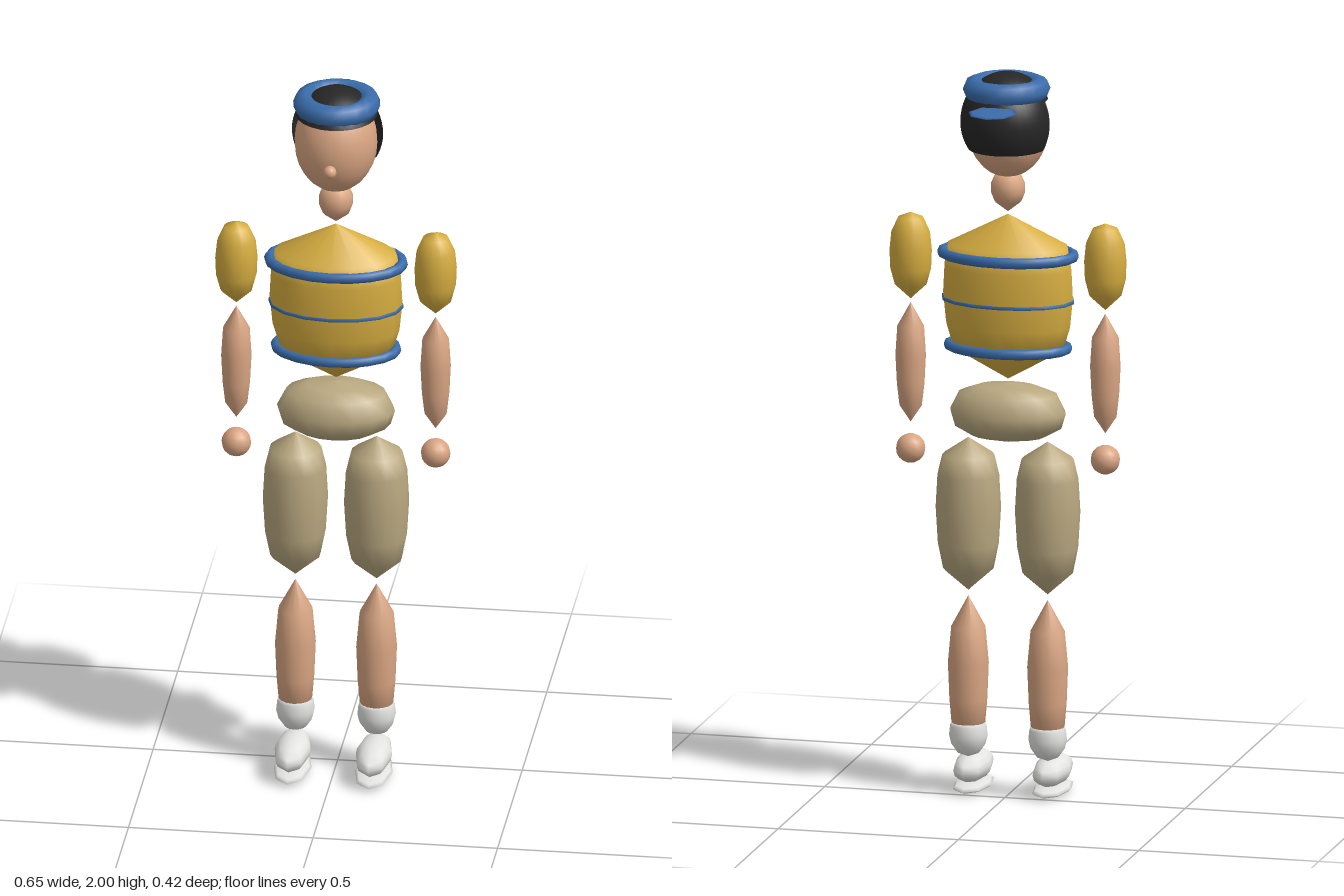
import * as THREE from 'three';

const MID_Z = 0.033; // body axis

function material(name, color, doubleSided = false) {
  const m = new THREE.MeshStandardMaterial({ color });
  m.name = name;
  if (doubleSided) m.side = THREE.DoubleSide;
  return m;
}

export function createModel() {
  const model = new THREE.Group();
  model.name = 'jointedFigure';

  const skin = material('skin', 0xd9a582);
  const yellow = material('shirtYellow', 0xd6ad40);
  const blue = material('trimBlue', 0x3a6cab);
  const khaki = material('shortsKhaki', 0xb9a880);
  const black = material('hairBlack', 0x262626, true);
  const white = material('shoeWhite', 0xe4e4e2);

  function add(name, geometry, mat, x = 0, y = 0, z = MID_Z, parent = model) {
    const mesh = new THREE.Mesh(geometry, mat);
    mesh.name = name;
    mesh.position.set(x, y, z);
    parent.add(mesh);
    return mesh;
  }

  // turned part from [radius, height] pairs, bottom to top
  function turned(profile, depth = 1, segments = 14) {
    const points = profile.map(([r, y]) => new THREE.Vector2(r, y));
    return new THREE.LatheGeometry(points, segments).scale(1, 1, depth);
  }

  function ellipsoid(rx, ry, rz, w = 20, h = 14) {
    return new THREE.SphereGeometry(1, w, h).scale(rx, ry, rz);
  }

  function ring(radius, tube, depth, segments = 20) {
    return new THREE.TorusGeometry(radius, tube, 8, segments).rotateX(Math.PI / 2).scale(1, 1, depth);
  }

  // head
  add('head', ellipsoid(0.112, 0.142, 0.117), skin, 0, 1.851);
  add('nose', ellipsoid(0.018, 0.018, 0.018, 12, 8), skin, 0, 1.813, 0.156);
  add('neck', turned([[0, 1.612], [0.036, 1.64], [0.046, 1.665], [0.046, 1.69], [0.034, 1.717], [0, 1.727]]), skin);

  // hair: a crown all round and a longer piece at the back
  const crown = new THREE.SphereGeometry(1, 24, 8, 0, Math.PI * 2, 0, 1.1).scale(0.124, 0.135, 0.128);
  const backHair = new THREE.SphereGeometry(1, 16, 10, Math.PI + 0.15, Math.PI - 0.3, 1.0, 1.15)
    .scale(0.125, 0.135, 0.13);
  add('hairCrown', crown, black, 0, 1.865, 0.021);
  add('hairBack', backHair, black, 0, 1.865, 0.021);

  // backward cap
  add('capBand', ring(0.087, 0.031, 1), blue, 0, 1.955, 0.018);
  add('capBrim', ellipsoid(0.066, 0.006, 0.075, 8, 6), blue, 0, 1.921, -0.135);

  // torso
  add('chest', turned([[0, 1.15], [0.152, 1.235], [0.172, 1.3], [0.18, 1.38],
    [0.176, 1.46], [0.166, 1.52], [0, 1.605]], 0.645, 16), yellow);
  add('upperTrim', ring(0.18, 0.015, 0.64), blue, 0, 1.495);
  add('lowerTrim', ring(0.163, 0.014, 0.64), blue, 0, 1.24);
  add('middleStripe', turned([[0.179, 1.365], [0.183, 1.366], [0.183, 1.374], [0.179, 1.375]], 0.645, 16), blue);
  add('hips', turned([[0, 0.975], [0.1, 0.993], [0.148, 1.02], [0.16, 1.06], [0.135, 1.11], [0.08, 1.13], [0, 1.14]],
    0.675, 16), khaki);

  // limbs, mirrored left and right
  for (const [side, s] of [['left', 1], ['right', -1]]) {
    const arm = new THREE.Group();
    arm.name = side + 'Arm';
    arm.position.x = 0.27 * s;
    add('sleeve', turned([[0, 1.355], [0.043, 1.395], [0.055, 1.44], [0.057, 1.49],
      [0.052, 1.54], [0.034, 1.58], [0, 1.594]]), yellow, 0, 0, MID_Z, arm);
    add('forearm', turned([[0, 1.015], [0.03, 1.06], [0.037, 1.12], [0.041, 1.2],
      [0.036, 1.28], [0, 1.345]]), skin, 0, 0, MID_Z, arm);
    add('hand', ellipsoid(0.04, 0.04, 0.04, 14, 10), skin, 0, 0.942, MID_Z, arm);

    const leg = new THREE.Group();
    leg.name = side + 'Leg';
    leg.position.x = 0.11 * s;
    add('thigh', turned([[0, 0.56], [0.068, 0.62], [0.082, 0.69], [0.088, 0.79],
      [0.083, 0.88], [0.07, 0.935], [0, 0.982]]), khaki, 0, 0, MID_Z, leg);
    add('shin', turned([[0, 0.15], [0.045, 0.19], [0.051, 0.26], [0.055, 0.36],
      [0.046, 0.46], [0, 0.545]]), skin, 0, 0, MID_Z, leg);
    add('sock', turned([[0, 0.1], [0.03, 0.112], [0.046, 0.135], [0.052, 0.16],
      [0.049, 0.188], [0.044, 0.198], [0, 0.2]]), white, 0, 0, MID_Z, leg);
    add('shoe', ellipsoid(0.049, 0.041, 0.118, 8, 8), white, 0, 0.064, 0.088, leg);
    add('sole', ellipsoid(0.051, 0.013, 0.115, 8, 6), white, 0, 0.013, 0.088, leg);

    model.add(arm, leg);
  }

  return model;
}
